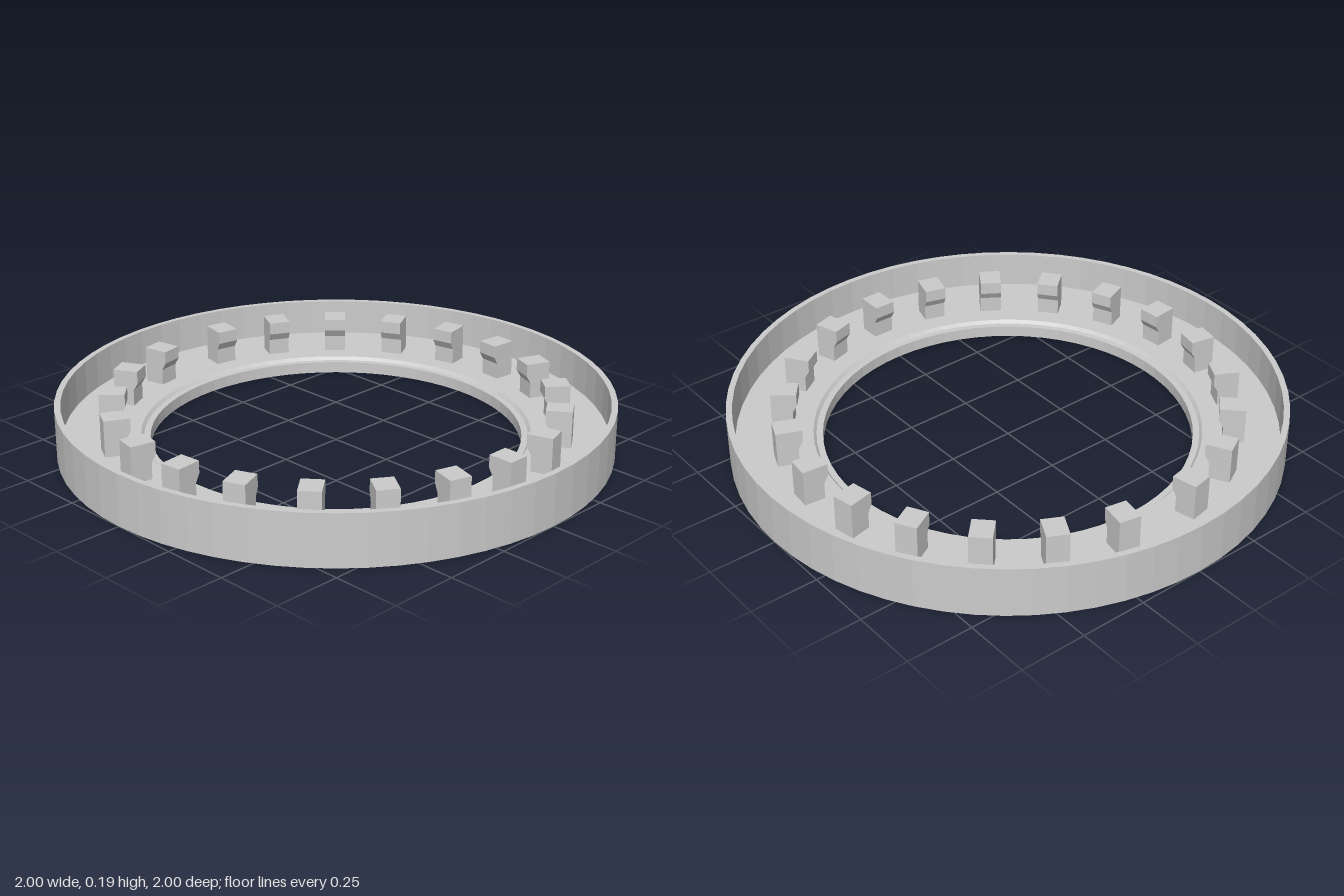
import * as THREE from 'three';

const material = new THREE.MeshStandardMaterial({ color: 0xcccccc, flatShading: true });

export function createModel() {
  const model = new THREE.Group();
  model.name = 'ringTray';

  // Ring: outer wall, flat floor and a stepped ledge round the hole
  const profile = [
    [0.667, 0], [1, 0], [1, 0.19], [0.978, 0.19], [0.978, 0.055],
    [0.7, 0.055], [0.69, 0.043], [0.667, 0.043], [0.667, 0],
  ].map(([r, y]) => new THREE.Vector2(r, y));
  const ring = new THREE.Mesh(new THREE.LatheGeometry(profile, 64), material);
  ring.name = 'ring';
  model.add(ring);

  // Clip post: side outline with a hooked head facing the hole
  const width = 0.08;
  const outline = new THREE.Shape([
    [0.77, 0.05], [0.847, 0.05], [0.847, 0.19], [0.753, 0.19],
    [0.753, 0.144], [0.77, 0.115],
  ].map(([r, y]) => new THREE.Vector2(r, y)));
  const postGeometry = new THREE.ExtrudeGeometry(outline, { depth: width, bevelEnabled: false });
  postGeometry.translate(0, 0, -width / 2);

  // Posts fan out evenly both ways from +x, leaving a wider gap at -x
  const step = THREE.MathUtils.degToRad(16.9);
  const posts = new THREE.Group();
  posts.name = 'clipPosts';
  for (let i = -10; i <= 10; i++) {
    const post = new THREE.Mesh(postGeometry, material);
    post.name = 'clipPost';
    post.rotation.y = i * step;
    posts.add(post);
  }
  model.add(posts);

  return model;
}
